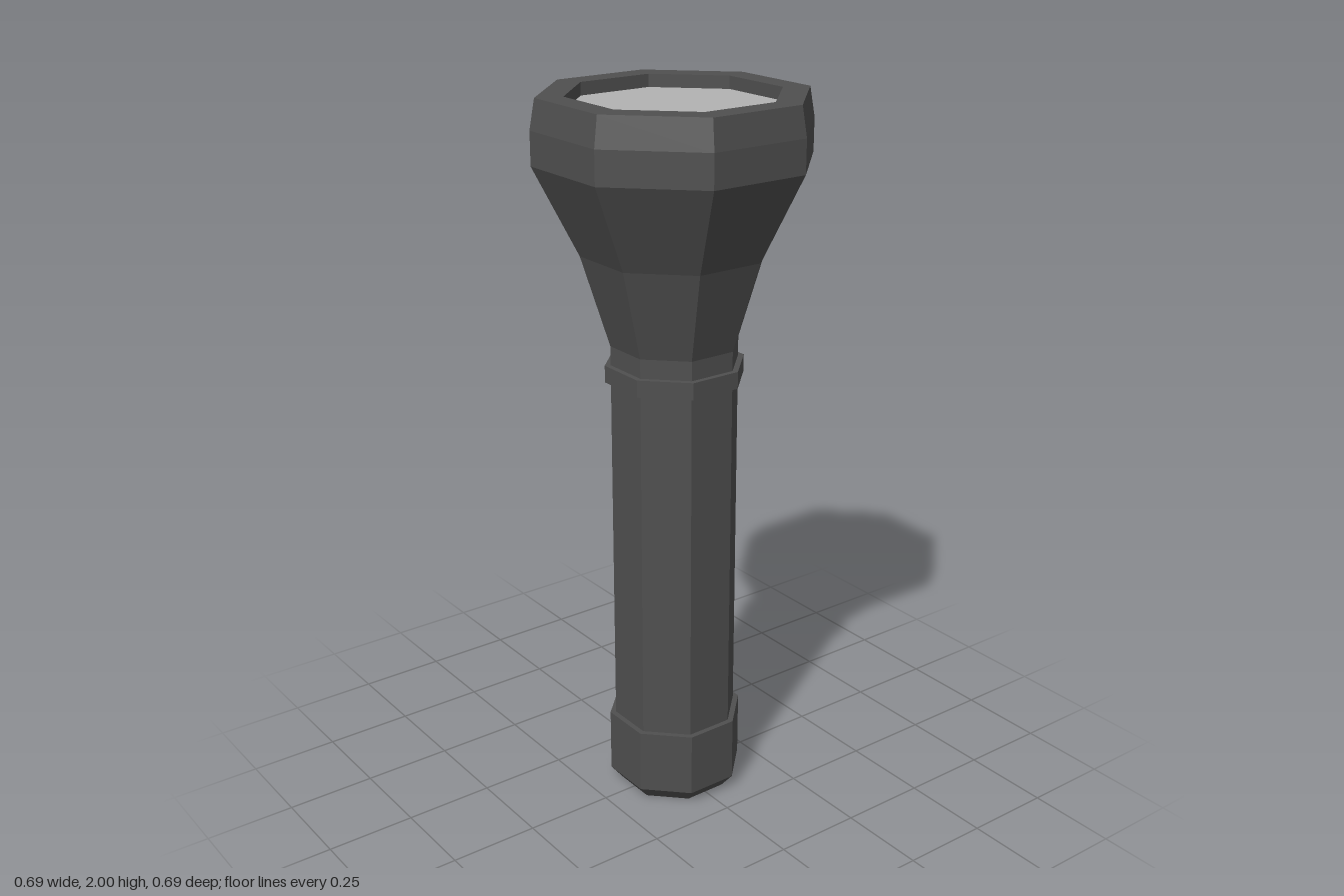
import * as THREE from 'three';

const SIDES = 8;
const TO_CORNER = 1 / Math.cos(Math.PI / SIDES);

// Faceted octagonal turning; profile is [distance to flat side, height], upwards on the outside
function octagon(name, profile, material) {
  const points = profile.map(([r, y]) => new THREE.Vector2(r * TO_CORNER, y));
  const geometry = new THREE.LatheGeometry(points, SIDES, Math.PI / SIDES).toNonIndexed();
  geometry.computeVertexNormals();
  const mesh = new THREE.Mesh(geometry, material);
  mesh.name = name;
  return mesh;
}

export function createModel() {
  const casing = new THREE.MeshStandardMaterial({ color: 0x4f4f4f });
  casing.name = 'dark grey casing';
  const glass = new THREE.MeshStandardMaterial({ color: 0xb2b2b2 });
  glass.name = 'pale grey lens';

  const group = new THREE.Group();
  group.name = 'flashlight';

  group.add(
    // Tail cap with a chamfered foot
    octagon('tailCap', [[0, 0], [0.147, 0], [0.178, 0.04], [0.178, 0.225], [0.163, 0.225]], casing),
    // Straight grip
    octagon('handle', [[0.163, 0.225], [0.163, 1.24]], casing),
    // Raised ring between grip and head
    octagon('collar', [[0.163, 1.24], [0.178, 1.24], [0.178, 1.287], [0.163, 1.287]], casing),
    // Flared head, bezel and recessed inner wall
    octagon('head', [
      [0.163, 1.287], [0.163, 1.34], [0.234, 1.59], [0.345, 1.83], [0.345, 1.92],
      [0.332, 2], [0.264, 2], [0.264, 1.965],
    ], casing),
    // Flat lens set below the rim
    octagon('lens', [[0.264, 1.965], [0, 1.965]], glass),
  );
  return group;
}
